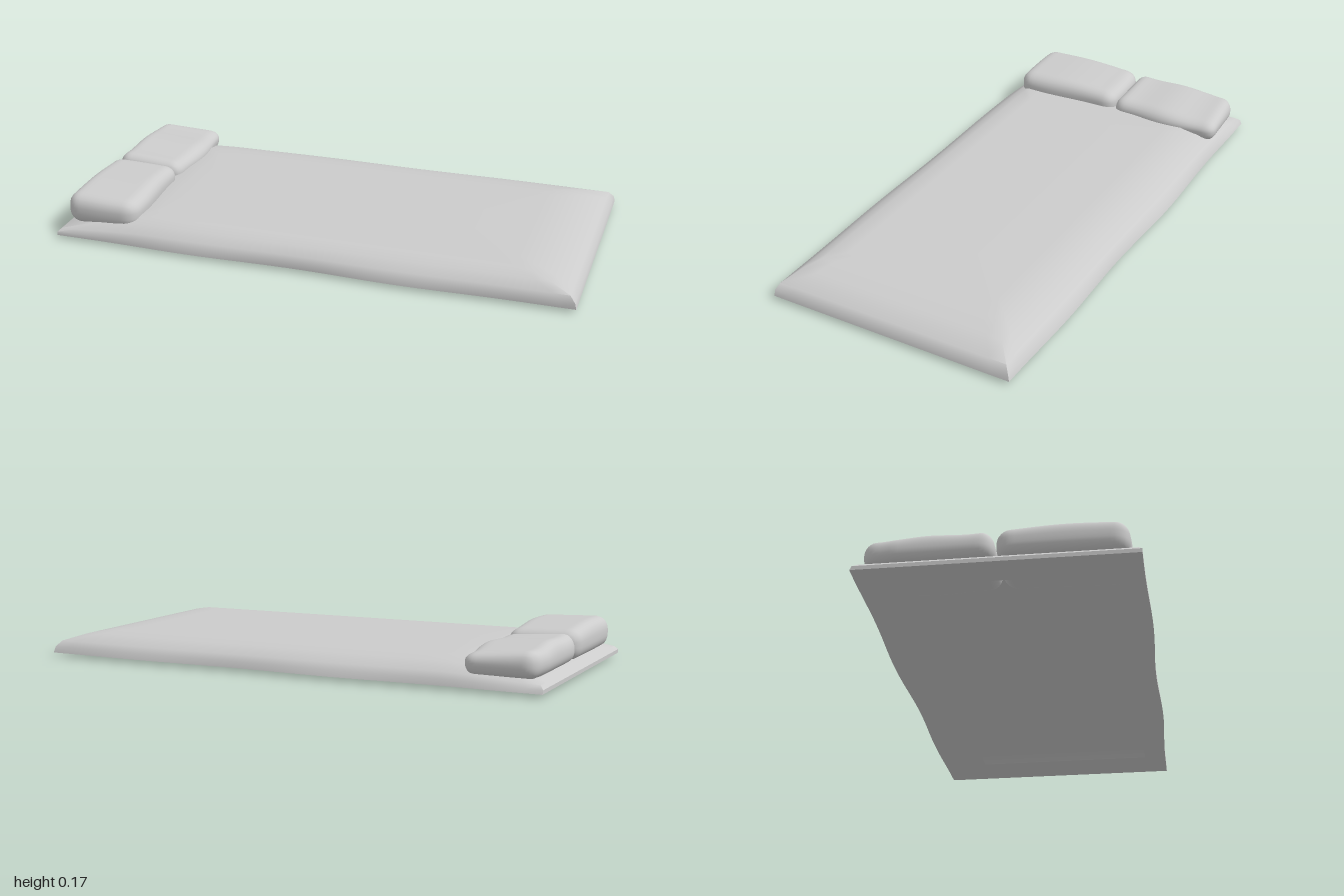
import * as THREE from 'three';
import { mergeVertices, toCreasedNormals } from 'three/addons/utils/BufferGeometryUtils.js';

const material = new THREE.MeshStandardMaterial({ color: 0xcccccc, side: THREE.DoubleSide });
const NX = 32, NZ = 14;

// Rectangular loop of points, counterclockwise from above; height blends from head (-x) to foot.
function rectLoop([x0, x1, z0, z1, yHead, yFoot, wave]) {
  const points = [];
  const add = (x, z, side) => {
    const t = THREE.MathUtils.smoothstep(x, -1.05, -0.6);
    const ripple = side * wave * (0.5 + 0.5 * Math.sin(7 * x + (side > 0 ? -1.2 : 3.2))) * (1 - x * x);
    points.push(new THREE.Vector3(x, THREE.MathUtils.lerp(yHead, yFoot, t), z + ripple));
  };
  const mix = THREE.MathUtils.lerp;
  for (let i = 0; i < NX; i++) add(mix(x0, x1, i / NX), z1, 1);
  for (let i = 0; i < NZ; i++) add(x1, mix(z1, z0, i / NZ), 0);
  for (let i = 0; i < NX; i++) add(mix(x1, x0, i / NX), z0, -1);
  for (let i = 0; i < NZ; i++) add(x0, mix(z0, z1, i / NZ), 0);
  return points;
}

// Skin consecutive loops into one sheet.
function loft(loops) {
  const n = loops[0].length, index = [];
  for (let k = 0; k < loops.length - 1; k++) {
    for (let i = 0; i < n; i++) {
      const a = k * n + i, b = k * n + (i + 1) % n;
      index.push(a, b, b + n, a, b + n, a + n);
    }
  }
  const geometry = new THREE.BufferGeometry().setFromPoints(loops.flat());
  geometry.setIndex(index);
  return toCreasedNormals(geometry, 0.75);
}

// Soft rounded cushion: a subdivided box with rounded edges, then pushed by a rule.
function pillow(name, centre, size, radius, shape) {
  const half = size.clone().multiplyScalar(0.5);
  const geometry = new THREE.BoxGeometry(size.x, size.y, size.z, 20, 10, 28);
  geometry.deleteAttribute('uv');
  geometry.deleteAttribute('normal');
  const pos = geometry.attributes.position;
  const p = new THREE.Vector3(), core = new THREE.Vector3();
  const inner = half.clone().subScalar(radius);
  for (let i = 0; i < pos.count; i++) {
    p.fromBufferAttribute(pos, i);
    core.copy(p).clamp(inner.clone().negate(), inner);
    p.sub(core).setLength(radius).add(core);
    shape(p, p.x / half.x, p.y / half.y, p.z / half.z);
    p.add(centre);
    pos.setXYZ(i, p.x, p.y, p.z);
  }
  const smooth = mergeVertices(geometry, 1e-4);
  smooth.computeVertexNormals();
  const mesh = new THREE.Mesh(smooth, material);
  mesh.name = name;
  return mesh;
}

export function createModel() {
  const model = new THREE.Group();
  model.name = 'bedding';

  // Duvet: turned-under hem, side, slope and nearly flat top, open beneath
  // each loop: x0, x1, z0, z1, head height, foot height, side ripple
  const duvet = new THREE.Mesh(loft([
    [-0.89, 0.81, -0.31, 0.40, 0.0, 0.012, 0],
    [-1.00, 1.00, -0.485, 0.487, 0.016, 0.017, 0.013],
    [-1.00, 0.995, -0.478, 0.487, 0.03, 0.04, 0.01],
    [-0.985, 0.975, -0.46, 0.475, 0.042, 0.063, 0.006],
    [-0.85, 0.90, -0.40, 0.44, 0.062, 0.088, 0],
    [-0.70, 0.82, -0.33, 0.40, 0.09, 0.103, 0],
    [-0.64, 0.75, -0.27, 0.34, 0.1, 0.105, 0],
    [-0.55, 0.45, 0.035, 0.035, 0.105, 0.105, 0],
  ].map(rectLoop)), material);
  duvet.name = 'duvet';
  model.add(duvet);

  // Two pillows side by side at the head
  model.add(pillow('leftPillow', new THREE.Vector3(-0.837, 0.108, 0.222),
    new THREE.Vector3(0.29, 0.116, 0.455), 0.05, (p, u, v, w) => {
      const top = Math.max(0, v);
      p.y += top * (0.004 * w - 0.005 * u + 0.004 * Math.cos(3 * w));
      p.x += 0.008 * Math.sin(2.5 * w) * Math.max(0, u) - 0.004 * u * w * w;
      p.z -= 0.006 * w * u * u;
    }));
  model.add(pillow('rightPillow', new THREE.Vector3(-0.837, 0.1, -0.235),
    new THREE.Vector3(0.285, 0.1, 0.455), 0.048, (p, u, v, w) => {
      const top = Math.max(0, v);
      p.y += top * (0.006 * w - 0.01 * u + 0.004 * Math.cos(5 * w));
      p.x += 0.008 * Math.cos(4 * w) * Math.max(0, u) + 0.03 * Math.max(0, -u) * Math.max(0, -w - 0.5);
      p.z -= 0.008 * u * Math.max(0, -w);
    }));
  return model;
}
